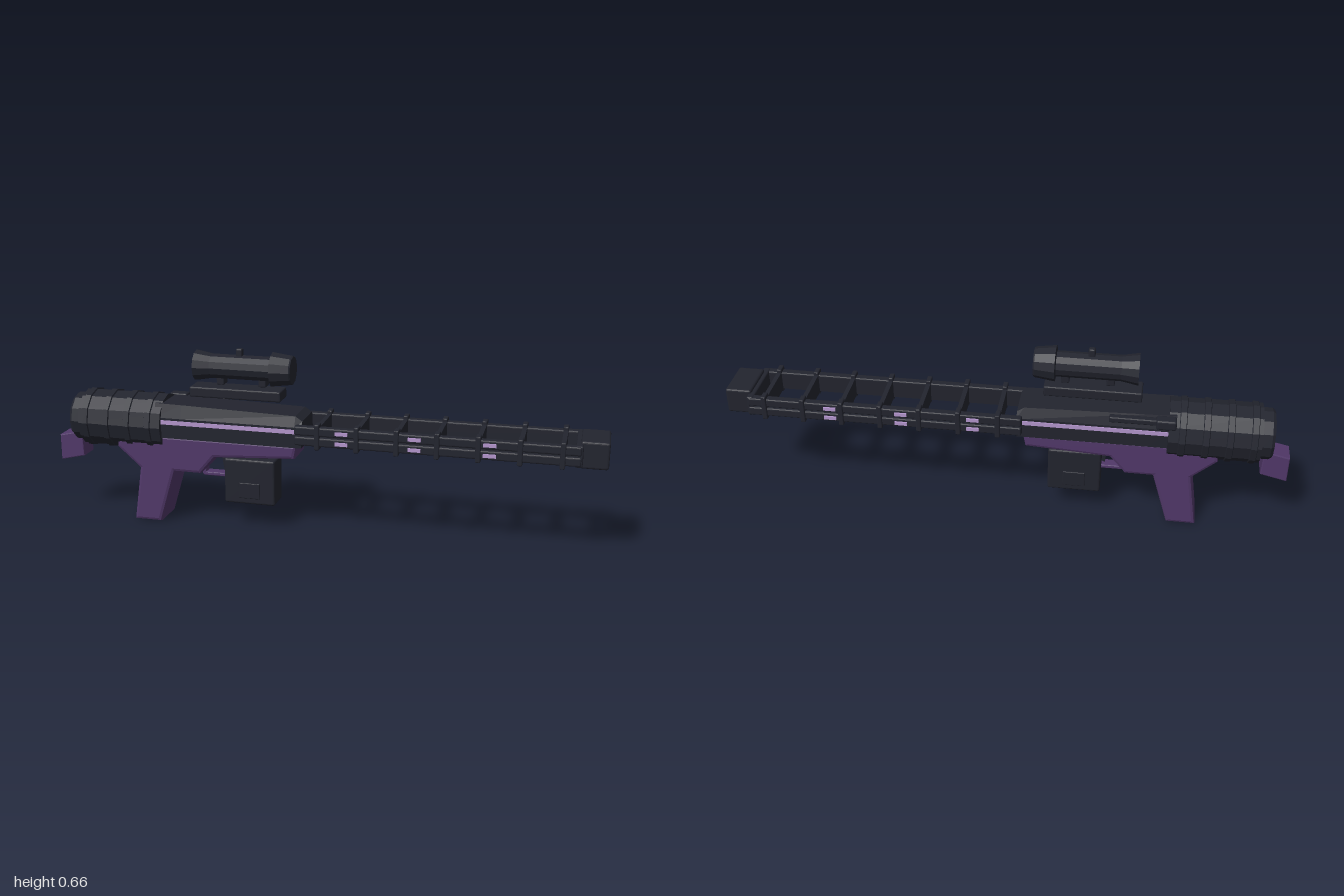
import * as THREE from 'three';
import { RoundedBoxGeometry } from 'three/addons/geometries/RoundedBoxGeometry.js';

const mat = (name, color) => new THREE.MeshStandardMaterial({ name, color, flatShading: true });

export function createModel() {
  const dark = mat('gunmetal', 0x22242e);
  const purple = mat('purple', 0x513869);
  const lilac = mat('lilac', 0xb395cc);
  const model = new THREE.Group();
  model.name = 'toyBlaster';

  const add = (name, geometry, material) => {
    const mesh = new THREE.Mesh(geometry, material);
    mesh.name = name;
    model.add(mesh);
    return mesh;
  };
  // box given by its min and max on each axis, softened by radius r
  const box = (name, m, [x0, x1], [y0, y1], [z0, z1], r = 0) => {
    const size = [x1 - x0, y1 - y0, z1 - z0];
    const g = r ? new RoundedBoxGeometry(...size, 2, r) : new THREE.BoxGeometry(...size);
    g.translate((x0 + x1) / 2, (y0 + y1) / 2, (z0 + z1) / 2);
    return add(name, g, m);
  };
  // turned part along x, profile as [x, radius]
  const turned = (name, profile, y, sides = 12) => {
    const g = new THREE.LatheGeometry(profile.map(([x, r]) => new THREE.Vector2(r, x)), sides);
    g.rotateZ(-Math.PI / 2).translate(0, y, 0);
    return add(name, g, dark);
  };
  // side outline extruded across z with a bevelled edge
  const slab = (name, m, outline, halfWidth, bevel) => {
    const shape = new THREE.Shape(outline.map(([x, y]) => new THREE.Vector2(x, y)));
    const g = new THREE.ExtrudeGeometry(shape, {
      depth: 2 * (halfWidth - bevel), bevelThickness: bevel, bevelSize: bevel,
      bevelOffset: -bevel, bevelSegments: 2,
    });
    g.translate(0, 0, -halfWidth + bevel);
    return add(name, g, m);
  };

  // receiver: lower flanks, chamfered top that falls toward the front
  const sections = [[-0.6, 0.455], [-0.5, 0.453], [-0.075, 0.442], [-0.05, 0.425]];
  const ring = ([x, top]) => [
    [0.082, 0.33], [0.082, 0.405], [0.066, top], [-0.066, top], [-0.082, 0.405], [-0.082, 0.33],
  ].map(([z, y]) => [x, y, z]);
  const rings = sections.map(ring);
  const verts = [];
  const tri = (...p) => p.forEach((v) => verts.push(...v));
  for (let s = 0; s < rings.length - 1; s++) {
    for (let i = 0; i < 6; i++) {
      const j = (i + 1) % 6, a = rings[s], b = rings[s + 1];
      tri(a[i], b[i], b[j], a[i], b[j], a[j]);
    }
  }
  const last = rings[rings.length - 1];
  for (let i = 1; i < 5; i++) {
    tri(rings[0][0], rings[0][i], rings[0][i + 1]);
    tri(last[0], last[i + 1], last[i]);
  }
  const receiver = new THREE.BufferGeometry();
  receiver.setAttribute('position', new THREE.Float32BufferAttribute(verts, 3));
  receiver.computeVertexNormals();
  add('receiver', receiver, dark);

  // lower body and pistol grip
  slab('grip', purple, [
    [-0.75, 0.335], [-0.755, 0.28], [-0.67, 0.205], [-0.70, 0.0], [-0.595, 0.0], [-0.535, 0.2],
    [-0.435, 0.2], [-0.38, 0.265], [-0.08, 0.283], [-0.07, 0.335],
  ], 0.074, 0.012);

  // butt block
  slab('buttBlock', purple, [[-1, 0.2], [-0.906, 0.222], [-0.91, 0.318], [-1, 0.298]], 0.041, 0.004);

  // rear drum with raised bands
  turned('rearDrum', [[-0.935, 0], [-0.935, 0.083], [-0.925, 0.09], [-0.892, 0.09], [-0.892, 0.104],
    [-0.575, 0.104], [-0.575, 0]], 0.37);
  for (let i = 0; i < 4; i++) {
    const x = -0.866 + i * 0.081;
    turned('drumBand', [[x - 0.014, 0.1], [x - 0.01, 0.109], [x + 0.01, 0.109], [x + 0.014, 0.1]], 0.37);
  }

  // bolt on the right flank
  box('boltRod', dark, [-0.6, -0.37], [0.428, 0.45], [-0.098, -0.072], 0.006);
  box('boltKnob', dark, [-0.6, -0.53], [0.421, 0.458], [-0.112, -0.07], 0.008);

  // twin rails, mirrored
  for (const s of [1, -1]) {
    const zr = (a, b) => (s > 0 ? [a, b] : [-b, -a]);
    box('sideStripe', lilac, [-0.575, -0.07], [0.382, 0.397], zr(0.08, 0.086));
    box('railCore', dark, [-0.07, 0.91], [0.35, 0.41], zr(0.078, 0.097));
    for (const y of [0.365, 0.402]) {
      box('railBar', dark, [-0.07, 0.91], [y - 0.016, y + 0.016], zr(0.078, 0.108), 0.006);
      for (const x of [0.1, 0.355, 0.61]) {
        box('railLight', lilac, [x - 0.022, x + 0.022], [y - 0.006, y + 0.006], zr(0.106, 0.1145));
      }
    }
    for (let i = 0; i < 7; i++) {
      const x = 0.013 + i * 0.1395;
      box('railClamp', dark, [x - 0.009, x + 0.009], [0.338, 0.43], zr(0.076, 0.114), 0.004);
    }
    box('magazinePanel', dark, [-0.295, -0.215], [0.113, 0.172], zr(0.047, 0.054), 0.003);
  }

  // cross plates between the rails and the muzzle block
  for (let i = 0; i < 7; i++) {
    const x = 0.013 + i * 0.1395;
    box('crossPlate', dark, [x - 0.008, x + 0.008], [0.347, 0.418], [-0.08, 0.08]);
  }
  box('muzzleBlock', dark, [0.905, 1], [0.335, 0.43], [-0.079, 0.079], 0.008);
  box('muzzleCollar', dark, [0.89, 0.915], [0.345, 0.42], [-0.104, 0.104], 0.006);

  // magazine, trigger and guard
  box('magazine', dark, [-0.35, -0.16], [0.09, 0.26], [-0.049, 0.049], 0.008);
  box('guardBar', purple, [-0.44, -0.345], [0.178, 0.192], [-0.02, 0.02], 0.004);
  box('guardPost', purple, [-0.445, -0.43], [0.182, 0.215], [-0.02, 0.02], 0.004);
  slab('trigger', dark, [[-0.372, 0.268], [-0.355, 0.268], [-0.35, 0.205], [-0.362, 0.2]], 0.012, 0.002);

  // scope with mount, feet and knob
  box('scopeMount', dark, [-0.477, -0.137], [0.48, 0.518], [-0.042, 0.042], 0.006);
  turned('scope', [[-0.46, 0], [-0.46, 0.056], [-0.4, 0.045], [-0.178, 0.045], [-0.175, 0.0625],
    [-0.105, 0.053], [-0.1, 0.05], [-0.1, 0]], 0.59);
  for (const x of [-0.366, -0.21]) {
    box('scopeFoot', dark, [x - 0.014, x + 0.014], [0.526, 0.56], [-0.021, 0.021], 0.004);
  }
  box('scopeKnob', dark, [-0.309, -0.285], [0.625, 0.659], [-0.012, 0.012], 0.006);

  return model;
}
